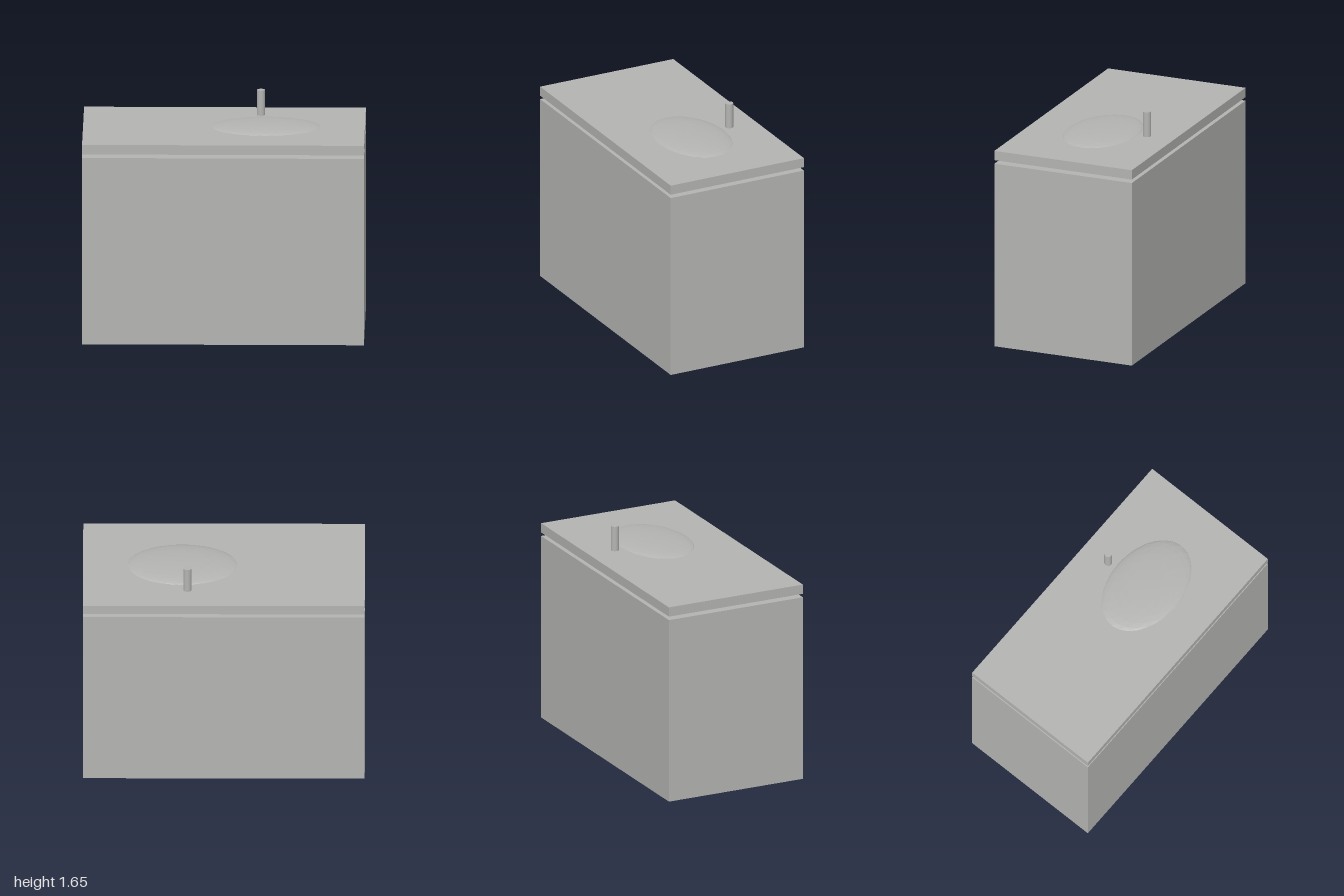
import * as THREE from 'three';

export function createModel() {
  const group = new THREE.Group();
  const grey = new THREE.MeshStandardMaterial({ color: 0xb4b4b2 });
  grey.name = 'grey';

  const add = (name, geometry, x, y, z) => {
    const mesh = new THREE.Mesh(geometry, grey);
    mesh.name = name;
    mesh.position.set(x, y, z);
    group.add(mesh);
  };

  // Cabinet body and the countertop floating just above it
  add('cabinet', new THREE.BoxGeometry(2, 1.367, 1.066), 0, 0.6835, 0);
  add('countertop', new THREE.BoxGeometry(2, 0.07, 1.066), 0, 1.428, 0);

  // Basin: a flattened faceted ellipsoid sunk into the countertop
  const basin = new THREE.IcosahedronGeometry(1, 4);
  basin.scale(0.395, 0.033, 0.265);
  basin.computeVertexNormals();
  add('basin', basin, 0.295, 1.458, 0);

  // Tap post behind the basin
  add('tap', new THREE.CylinderGeometry(0.029, 0.029, 0.19, 24), 0.258, 1.552, -0.323);

  return group;
}
